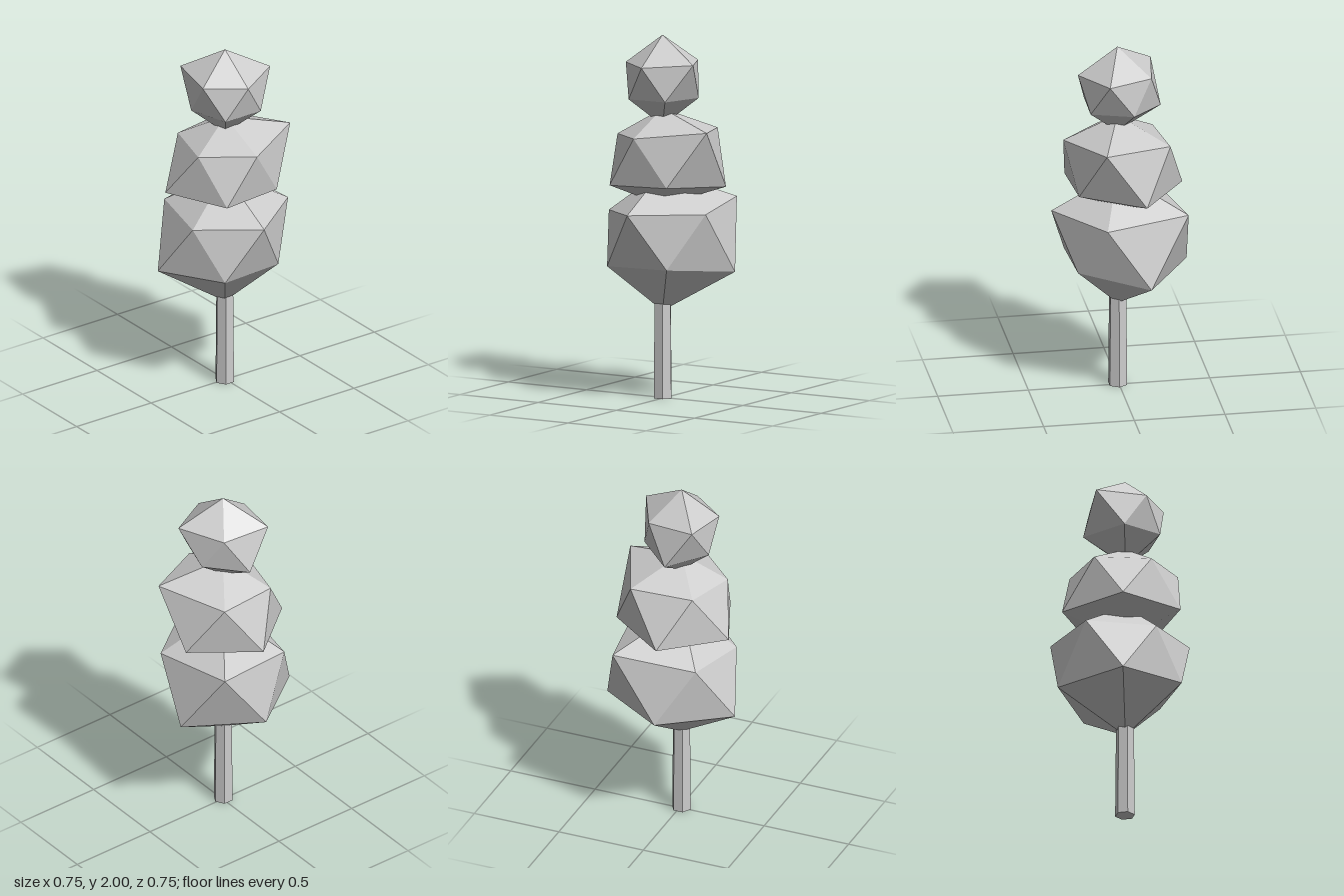
import * as THREE from 'three';

const CX = 0.008, CZ = 0.009; // trunk axis

// Irregular 20-sided clump: tip, five upper corners, five lower corners, base.
// Both rings run counter-clockwise seen from above; lower[i] sits between upper[i] and upper[i + 1].
function clumpGeometry(topY, upper, lower, baseY) {
  const tip = [CX, topY, CZ], base = [CX, baseY, CZ];
  const positions = [];
  const face = (...corners) => corners.forEach((c) => positions.push(...c));
  for (let i = 0; i < 5; i++) {
    const j = (i + 1) % 5;
    face(tip, upper[i], upper[j]);
    face(upper[i], lower[i], upper[j]);
    face(upper[j], lower[i], lower[j]);
    face(lower[i], base, lower[j]);
  }
  const geometry = new THREE.BufferGeometry();
  geometry.setAttribute('position', new THREE.Float32BufferAttribute(positions, 3));
  geometry.computeVertexNormals();
  return geometry;
}

export function createModel() {
  const model = new THREE.Group();
  model.name = 'tree';
  const grey = new THREE.MeshStandardMaterial({ color: 0xcccccc, flatShading: true });
  grey.name = 'light grey';

  const add = (name, geometry) => {
    const mesh = new THREE.Mesh(geometry, grey);
    mesh.name = name;
    model.add(mesh);
    return mesh;
  };

  // Six-sided trunk, slightly tapered
  add('trunk', new THREE.CylinderGeometry(0.05, 0.055, 0.56, 6)).position.set(0.006, 0.28, CZ);

  // Three foliage clumps, shrinking upward
  add('lowerFoliage', clumpGeometry(1.25,
    [[0.372, 1.053, 0.01], [0.118, 1.053, -0.335], [-0.342, 1.085, -0.25], [-0.274, 1.045, 0.212], [0.102, 1.025, 0.294]],
    [[0.255, 0.75, -0.17], [-0.116, 0.71, -0.378], [-0.374, 0.72, 0.01], [-0.11, 0.718, 0.375], [0.272, 0.745, 0.2]],
    0.48));
  add('middleFoliage', clumpGeometry(1.595,
    [[0.306, 1.467, 0.01], [0.124, 1.503, -0.345], [-0.253, 1.47, -0.182], [-0.212, 1.455, 0.166], [0.088, 1.447, 0.247]],
    [[0.248, 1.2, -0.165], [-0.1, 1.177, -0.33], [-0.35, 1.175, 0.01], [-0.098, 1.185, 0.333], [0.27, 1.192, 0.185]],
    1.06));
  add('upperFoliage', clumpGeometry(2.0,
    [[0.225, 1.845, 0.01], [0.088, 1.862, -0.236], [-0.16, 1.85, -0.114], [-0.2, 1.862, 0.158], [0.072, 1.843, 0.204]],
    [[0.175, 1.66, -0.11], [-0.054, 1.66, -0.184], [-0.231, 1.638, 0.01], [-0.05, 1.662, 0.194], [0.172, 1.657, 0.124]],
    1.5));

  return model;
}
